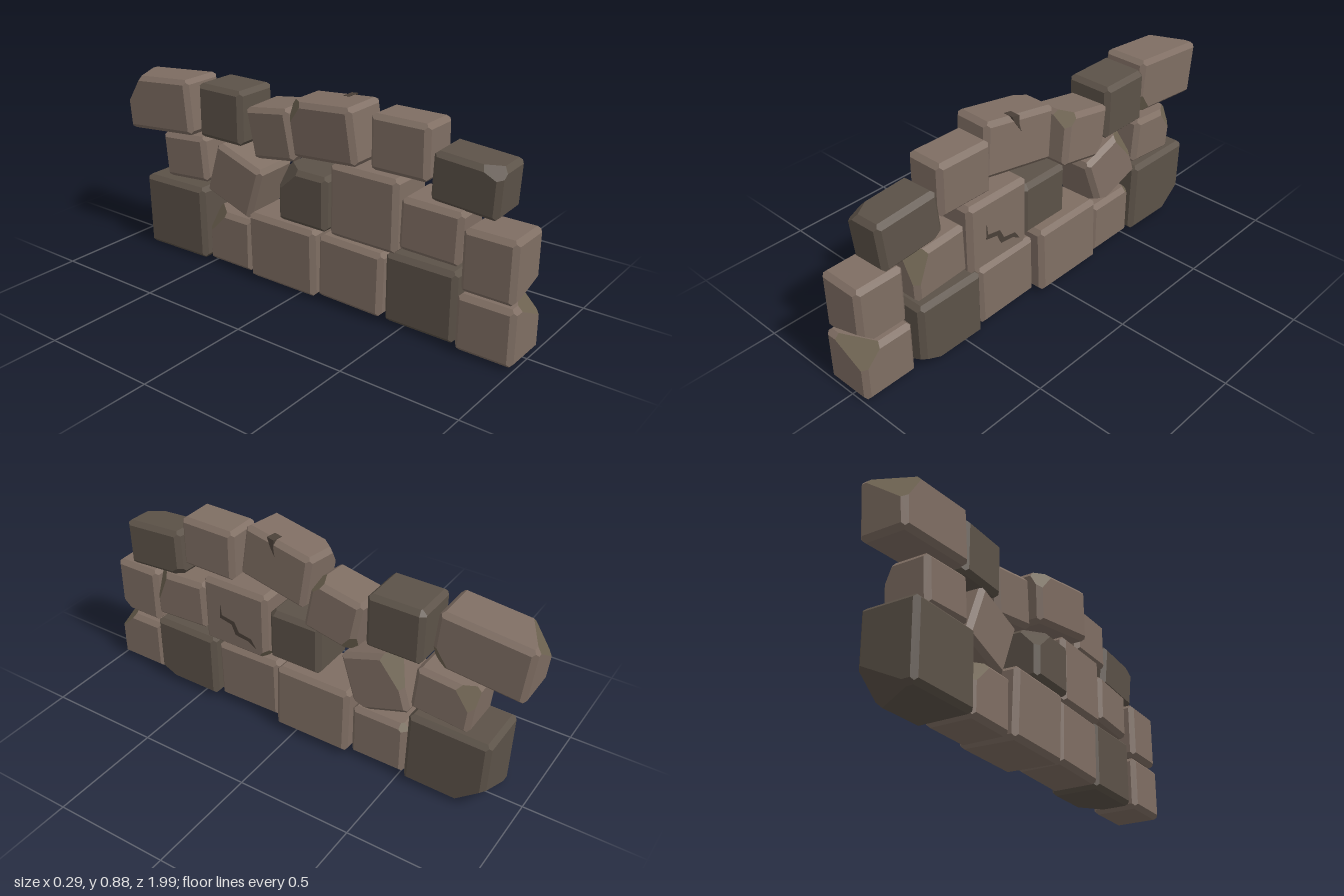
import * as THREE from 'three';
import { ConvexGeometry } from 'three/addons/geometries/ConvexGeometry.js';

const mat = (color) => new THREE.MeshStandardMaterial({ color, flatShading: true });
const LIGHT = mat(0x7f6e63), DARK = mat(0x5c5248), CHIP = mat(0x6f6452), CRACK = mat(0x4a4038);

// Half-spaces of a chamfered box, plus slanted corner cuts
function stonePlanes(size, cuts, bevel) {
  const h = size.map((s) => s / 2), planes = [], chips = [];
  const add = (n, d) => {
    const v = new THREE.Vector3(...n), len = v.length();
    planes.push({ n: v.divideScalar(len), d: d / len });
    return v;
  };
  for (let i = 0; i < 3; i++) {
    for (const s of [-1, 1]) {
      const n = [0, 0, 0];
      n[i] = s;
      add(n, h[i]);
      for (const t of [-1, 1]) {
        const j = (i + 1) % 3, e = [0, 0, 0];
        e[i] = s;
        e[j] = t;
        add(e, h[i] + h[j] - bevel);
      }
    }
  }
  // Each cut: corner signs, then the length removed along x, y and z
  for (const [sx, sy, sz, dx, dy, dz] of cuts) {
    chips.push(add([sx / dx, sy / dy, sz / dz], h[0] / dx + h[1] / dy + h[2] / dz - 1));
  }
  return { planes, chips };
}

// Corner points where three planes meet inside all the others
function planeCorners(planes) {
  const pts = [], c = new THREE.Vector3();
  for (let i = 0; i < planes.length; i++)
    for (let j = i + 1; j < planes.length; j++)
      for (let k = j + 1; k < planes.length; k++) {
        const [a, b, e] = [planes[i], planes[j], planes[k]];
        const bc = c.clone().crossVectors(b.n, e.n), det = a.n.dot(bc);
        if (Math.abs(det) < 1e-5) continue;
        const p = bc.multiplyScalar(a.d)
          .addScaledVector(c.crossVectors(e.n, a.n), b.d)
          .addScaledVector(c.crossVectors(a.n, b.n), e.d)
          .divideScalar(det);
        if (planes.every((q) => q.n.dot(p) < q.d + 1e-6) && !pts.some((q) => q.distanceTo(p) < 1e-4)) pts.push(p);
      }
  return pts;
}

// One stone: body in its own colour, chipped corners in a mossier tone
function makeStone({ name, pos, size, rot = [0, 0, 0], dark, cuts = [] }) {
  const { planes, chips } = stonePlanes(size, cuts, 0.02);
  const src = new ConvexGeometry(planeCorners(planes)).getAttribute('position');
  const body = [], chip = [];
  const tri = new THREE.Triangle(), n = new THREE.Vector3();
  for (let i = 0; i < src.count; i += 3) {
    tri.setFromAttributeAndIndices(src, i, i + 1, i + 2);
    tri.getNormal(n);
    const list = chips.some((q) => q.dot(n) > 0.999) ? chip : body;
    for (const p of [tri.a, tri.b, tri.c]) list.push(p.x, p.y, p.z);
  }
  const group = new THREE.Group();
  group.name = name;
  const addMesh = (arr, material, part) => {
    if (!arr.length) return;
    const g = new THREE.BufferGeometry();
    g.setAttribute('position', new THREE.Float32BufferAttribute(arr, 3));
    g.computeVertexNormals();
    const m = new THREE.Mesh(g, material);
    m.name = part;
    group.add(m);
  };
  addMesh(body, dark ? DARK : LIGHT, 'stoneBody');
  addMesh(chip, dark ? DARK : CHIP, 'chippedCorner');
  group.position.set(...pos);
  group.rotation.set(...rot);
  return group;
}

// Thin dark fissure on the +x face; outline runs along -z and up
function makeCrack(points, depth, x) {
  const shape = new THREE.Shape(points.map((p) => new THREE.Vector2(...p)));
  const m = new THREE.Mesh(new THREE.ExtrudeGeometry(shape, { depth, bevelEnabled: false }), CRACK);
  m.name = 'crack';
  m.rotation.y = Math.PI / 2;
  m.position.x = x - depth;
  return m;
}

// pos and size in x, y, z; stones listed from the front end (+z) to the back
const BOTTOM = [
  { pos: [-0.02, 0.13, 0.876], size: [0.22, 0.24, 0.246], cuts: [[1, 1, 1, 0.2, 0.1, 0.1]] },
  { pos: [0.005, 0.164, 0.581], size: [0.23, 0.302, 0.322], dark: true, cuts: [[1, -1, 1, 0.12, 0.06, 0.13]] },
  { pos: [-0.01, 0.161, 0.255], size: [0.22, 0.28, 0.315], rot: [0.02, 0, 0] },
  { pos: [0.0, 0.164, -0.088], size: [0.265, 0.302, 0.353], rot: [0, 0, 0.03] },
  { pos: [0.0, 0.134, -0.396], size: [0.22, 0.243, 0.25], cuts: [[-1, 1, -1, 0.1, 0.12, 0.12], [1, 1, -1, 0.05, 0.05, 0.05]] },
  { pos: [0.0, 0.173, -0.708], size: [0.255, 0.335, 0.355], rot: [-0.02, 0, 0], dark: true, cuts: [[1, -1, -1, 0.24, 0.12, 0.14]] },
];
const MIDDLE = [
  { pos: [-0.025, 0.388, 0.876], size: [0.205, 0.258, 0.225], cuts: [[1, -1, 1, 0.22, 0.07, 0.08]] },
  { pos: [0.0, 0.447, 0.61], size: [0.21, 0.22, 0.268], rot: [0.03, 0.03, 0], cuts: [[1, 1, 1, 0.08, 0.18, 0.08]] },
  { pos: [0.0, 0.464, 0.308], size: [0.22, 0.31, 0.322], cuts: [[1, -1, -1, 0.08, 0.06, 0.05]] },
  { pos: [-0.02, 0.438, 0.022], size: [0.22, 0.236, 0.25], dark: true, cuts: [[-1, 1, -1, 0.1, 0.11, 0.12], [1, 1, 1, 0.05, 0.04, 0.05]] },
  { pos: [0.01, 0.415, -0.376], size: [0.22, 0.255, 0.262], rot: [0.33, 0, 0.04], cuts: [[1, 1, -1, 0.07, 0.2, 0.08], [1, -1, 1, 0.12, 0.06, 0.08]] },
  { pos: [0.01, 0.457, -0.667], size: [0.21, 0.205, 0.255], rot: [-0.09, 0, 0], cuts: [[1, 1, -1, 0.06, 0.12, 0.1]] },
];
const TOP = [
  { pos: [0.012, 0.656, 0.736], size: [0.18, 0.205, 0.288], rot: [0.07, 0, 0.05], dark: true, cuts: [[-1, 1, 1, 0.07, 0.05, 0.12], [1, -1, -1, 0.06, 0.05, 0.08]] },
  { pos: [0.002, 0.739, 0.452], size: [0.175, 0.228, 0.264], rot: [-0.01, 0, 0] },
  { pos: [-0.035, 0.742, 0.126], size: [0.195, 0.235, 0.345], rot: [-0.12, -0.11, 0.05], cuts: [[-1, 1, -1, 0.06, 0.1, 0.1]] },
  { pos: [0.028, 0.66, -0.186], size: [0.205, 0.225, 0.238], rot: [-0.16, -0.05, 0.05], cuts: [[1, 1, 1, 0.12, 0.07, 0.06], [1, -1, -1, 0.06, 0.1, 0.06]] },
  { pos: [0.01, 0.696, -0.447], size: [0.215, 0.24, 0.246], dark: true, cuts: [[1, 1, -1, 0.05, 0.04, 0.04]] },
  { pos: [-0.022, 0.683, -0.79], size: [0.21, 0.245, 0.39], rot: [-0.095, 0, 0], cuts: [[-1, 1, -1, 0.2, 0.14, 0.11], [1, -1, 1, 0.06, 0.11, 0.09]] },
];

export function createModel() {
  const wall = new THREE.Group();
  wall.name = 'stoneWall';
  const courses = { bottomCourse: BOTTOM, middleCourse: MIDDLE, topCourse: TOP };
  for (const [name, stones] of Object.entries(courses)) {
    const course = new THREE.Group();
    course.name = name;
    stones.forEach((s, i) => course.add(makeStone({ ...s, name: `${name}Stone${i + 1}` })));
    wall.add(course);
  }

  // Zigzag crack in the middle course and a nick in the top course
  wall.getObjectByName('middleCourseStone3').add(makeCrack([
    [-0.07, 0.045], [-0.075, -0.02], [-0.015, -0.032], [0.005, -0.078], [0.07, -0.085],
    [0.11, -0.11], [0.085, -0.07], [0.022, -0.06], [0, -0.015], [-0.065, -0.003],
  ], 0.01, 0.112));
  wall.getObjectByName('topCourseStone3').add(makeCrack([
    [-0.05, 0.119], [-0.015, 0.119], [-0.012, 0.085], [0, 0.05], [-0.03, 0.085],
  ], 0.05, 0.0985));
  return wall;
}
